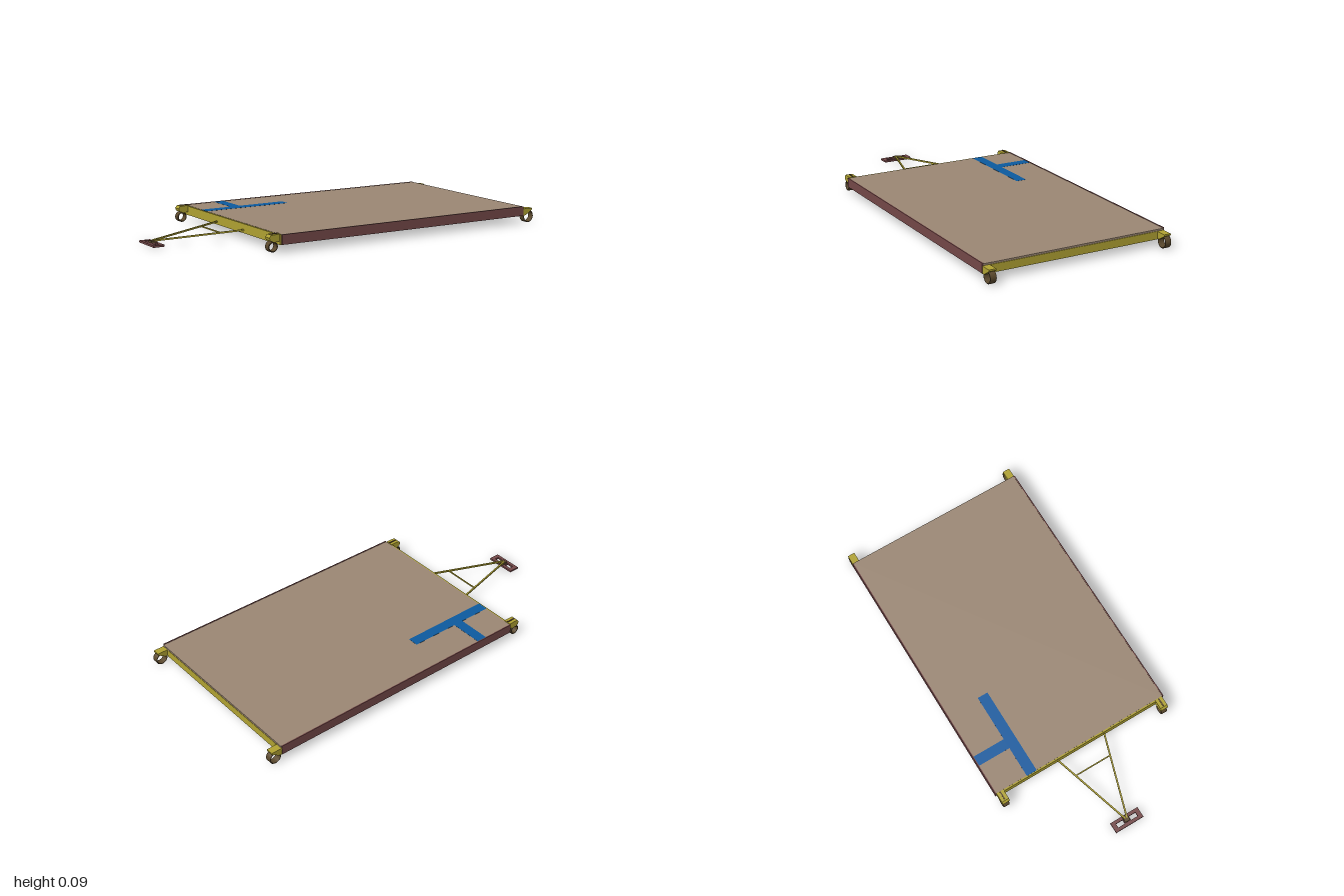
import * as THREE from 'three';

const mat = (name, color) => new THREE.MeshStandardMaterial({ name, color });

export function createModel() {
  const root = new THREE.Group();
  root.name = 'flatTrolley';
  const tan = mat('tan deck', 0x9b8774);
  const red = mat('dull red', 0x744848);
  const yellow = mat('mustard yellow', 0xb0a232);
  const blue = mat('blue', 0x0c5a9e);
  const brown = mat('dark brown', 0x5a482c);

  const add = (name, geo, material, parent = root) => {
    const m = new THREE.Mesh(geo, material);
    m.name = name;
    parent.add(m);
    return m;
  };
  // Box given by its lower and upper corners
  const box = (name, material, a, b, parent) => {
    const m = add(name, new THREE.BoxGeometry(b[0] - a[0], b[1] - a[1], b[2] - a[2]), material, parent);
    m.position.set((a[0] + b[0]) / 2, (a[1] + b[1]) / 2, (a[2] + b[2]) / 2);
    return m;
  };
  // Square bar between two points
  const bar = (name, material, a, b, t) => {
    const p = new THREE.Vector3(...a), q = new THREE.Vector3(...b);
    const m = add(name, new THREE.BoxGeometry(t, t, p.distanceTo(q)), material);
    m.position.copy(p).lerp(q, 0.5);
    m.lookAt(q);
  };

  // Deck plate with the blue marking showing on both faces
  box('deck', tan, [-0.527, 0.076, -0.493], [0.93, 0.085, 0.488]);
  box('markingBar', blue, [-0.529, 0.0755, -0.317], [-0.05, 0.0856, -0.26]);
  box('markingStem', blue, [-0.36, 0.0755, -0.494], [-0.305, 0.0856, -0.317]);

  // Side rails with a tan lining on the inside
  for (const [z, s] of [[0.494, 1], [-0.499, -1]]) {
    const lo = Math.min(z, z - s * 0.006), hi = Math.max(z, z - s * 0.006);
    box('sideRail', red, [-0.527, 0.038, lo], [0.927, 0.087, hi]);
    const l = z - s * 0.006, k = z - s * 0.012;
    box('railLining', tan, [-0.52, 0.048, Math.min(l, k)], [0.922, 0.077, Math.max(l, k)]);
  }

  // End beams
  box('endBeam', yellow, [0.921, 0.035, -0.46], [0.931, 0.075, 0.455]);
  box('endBeam', yellow, [-0.535, 0.037, -0.49], [-0.526, 0.084, 0.485]);

  // Open ring wheel, axle along z
  const ring = (r, inner, w) => {
    const h = w / 2, c = 0.002;
    const profile = [[inner, -h], [r - c, -h], [r, -h + c], [r, h - c], [r - c, h], [inner, h], [inner, -h]];
    const g = new THREE.LatheGeometry(profile.map(([x, y]) => new THREE.Vector2(x, y)), 28);
    g.rotateX(Math.PI / 2);
    return new THREE.BufferGeometry().copy(g.toNonIndexed());
  };
  // Bracket plate cut from a side outline
  const bracket = (points, w) => {
    const g = new THREE.ExtrudeGeometry(new THREE.Shape(points.map(p => new THREE.Vector2(...p))),
      { depth: w, bevelEnabled: false });
    return g.translate(0, 0, -w / 2);
  };

  // Larger wheels on the plain end
  for (const z of [0.474, -0.478]) {
    const g = new THREE.Group();
    g.name = 'rearWheel';
    g.position.z = z;
    root.add(g);
    add('bracket', bracket([[0.925, 0.036], [0.945, 0.04], [0.985, 0.066], [0.985, 0.074], [0.925, 0.074]], 0.038), yellow, g);
    add('wheel', ring(0.032, 0.028, 0.034), brown, g).position.set(0.963, 0.032, 0);
  }

  // Smaller wheels on the drawbar end
  for (const z of [0.463, -0.473]) {
    const g = new THREE.Group();
    g.name = 'frontWheel';
    g.position.z = z;
    root.add(g);
    add('bracket', bracket([[-0.527, 0.055], [-0.527, 0.088], [-0.58, 0.088], [-0.59, 0.075], [-0.585, 0.06], [-0.56, 0.052]], 0.04), yellow, g);
    add('wheel', ring(0.026, 0.02, 0.034), brown, g).position.set(-0.568, 0.03, 0);
    box('pin', brown, [-0.575, 0.088, -0.003], [-0.53, 0.092, 0.003], g);
  }

  // Drawbar
  for (const s of [1, -1]) bar('drawbarArm', yellow, [-0.53, 0.053, s * 0.138], [-0.955, 0.022, s * 0.005], 0.008);
  bar('crossBar', yellow, [-0.645, 0.045, -0.102], [-0.645, 0.045, 0.102], 0.006);
  box('hitchBlock', brown, [-0.972, 0.012, -0.014], [-0.94, 0.023, 0.014]);

  // Hitch plate with two slots
  const plate = new THREE.Shape([[-0.028, -0.08], [0.028, -0.08], [0.028, 0.08], [-0.028, 0.08]]
    .map(p => new THREE.Vector2(...p)));
  for (const s of [1, -1]) {
    plate.holes.push(new THREE.Path([[-0.011, s * 0.018], [-0.011, s * 0.057], [0.011, s * 0.057], [0.011, s * 0.018]]
      .map(p => new THREE.Vector2(...p))));
  }
  const hitch = add('hitchPlate', new THREE.ExtrudeGeometry(plate, { depth: 0.01, bevelEnabled: false }), red);
  hitch.rotation.x = -Math.PI / 2;
  hitch.position.set(-0.963, 0.003, 0);

  return root;
}
